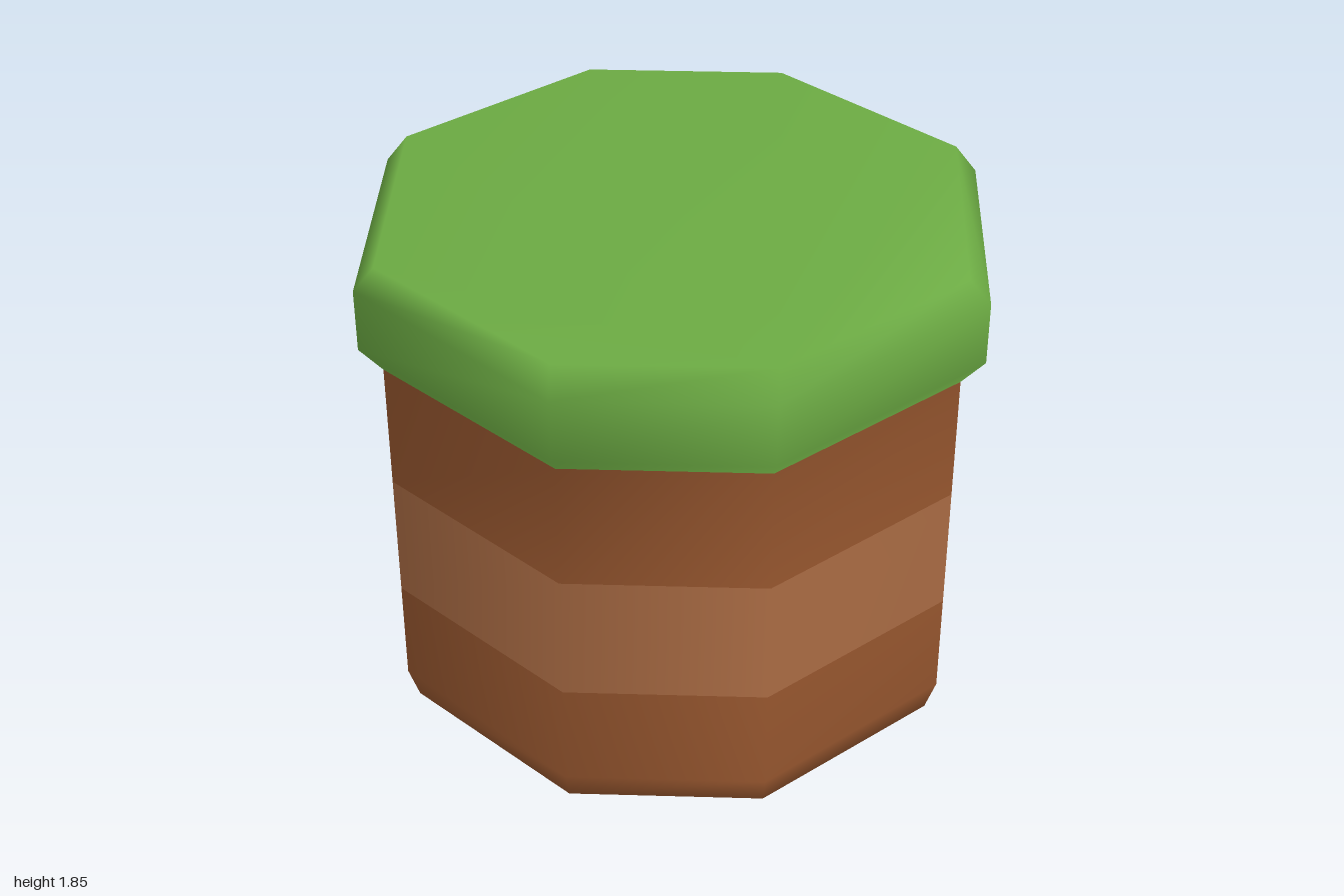
import * as THREE from 'three';

// Eight corners of a chamfered square ring, counter-clockwise seen from above
function ring(y, r, k) {
  const a = 0.34 * k, b = 0.42 * k;
  return [[a, r], [r, b], [r, -b], [a, -r], [-a, -r], [-r, -b], [-r, b], [-a, r]]
    .map(([x, z]) => [x, y, z]);
}

export function createModel() {
  // Height, reach and flat-side scale, from the base up to the grass top
  const rings = [
    ring(0, 0.80, 0.93), ring(0.07, 0.89, 0.96), ring(0.18, 0.925, 0.98),
    ring(0.555, 0.925, 0.98), ring(1.01, 0.925, 0.98), ring(1.46, 0.925, 0.98),
    ring(1.54, 1, 1), ring(1.76, 1, 1), ring(1.85, 0.93, 1),
  ];
  const position = new THREE.Float32BufferAttribute(rings.flat(2), 3);

  // Side faces between ring "from" and ring "to"
  const wall = (from, to) => {
    const index = [];
    for (let j = from; j < to; j++) {
      for (let i = 0; i < 8; i++) {
        const a = j * 8 + i, b = j * 8 + (i + 1) % 8;
        index.push(a, b, b + 8, a, b + 8, a + 8);
      }
    }
    return index;
  };
  // Flat end face on ring j
  const cap = (j, up) => {
    const index = [], s = j * 8;
    for (let i = 1; i < 7; i++) {
      if (up) index.push(s, s + i, s + i + 1);
      else index.push(s, s + i + 1, s + i);
    }
    return index;
  };

  const parts = [
    ['lowerSoil', 0x98572f, [...cap(0, false), ...wall(0, 3)]],
    ['soilBand', 0xab6c44, wall(3, 4)],
    ['upperSoil', 0x98572f, wall(4, 5)],
    ['grassTop', 0x6cab43, [...wall(5, 8), ...cap(8, true)]],
  ];

  // Normals are smoothed over the whole block, then shared by its parts
  const whole = new THREE.BufferGeometry();
  whole.setAttribute('position', position);
  whole.setIndex(parts.flatMap((p) => p[2]));
  whole.computeVertexNormals();

  const group = new THREE.Group();
  group.name = 'grassBlock';
  for (const [name, color, index] of parts) {
    const geometry = new THREE.BufferGeometry();
    geometry.setAttribute('position', position);
    geometry.setAttribute('normal', whole.getAttribute('normal'));
    geometry.setIndex(index);
    // Keep only the corners this part uses
    const mesh = new THREE.Mesh(geometry.toNonIndexed(), new THREE.MeshStandardMaterial({ color }));
    mesh.name = name;
    group.add(mesh);
  }
  return group;
}
